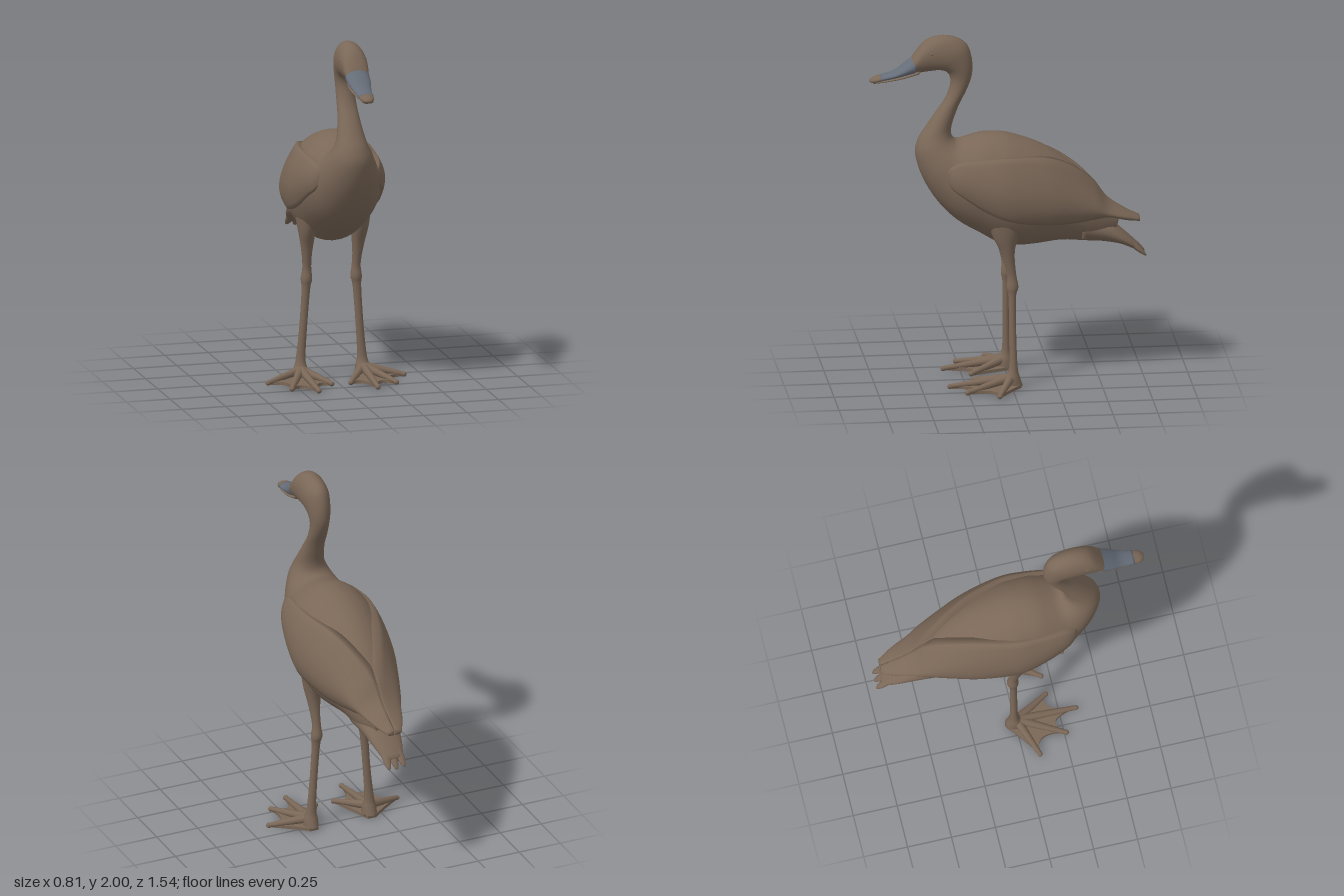
import * as THREE from 'three';

const brown = new THREE.MeshStandardMaterial({ color: 0x7a6757 });
brown.name = 'brown plumage';
const grey = new THREE.MeshStandardMaterial({ color: 0x656d78 });
grey.name = 'grey bill';

// Smoothly resample a table of cross-sections (Catmull-Rom on every column)
function resample(rows, steps) {
  const out = [], at = (i) => rows[Math.min(rows.length - 1, Math.max(0, i))];
  for (let k = 0; k <= (rows.length - 1) * steps; k++) {
    const i = Math.floor(k / steps), t = (k % steps) / steps;
    const [a, b, c, d] = [at(i - 1), at(i), at(i + 1), at(i + 2)];
    out.push(b.map((v, j) => v + 0.5 * t * (c[j] - a[j]
      + t * (2 * a[j] - 5 * v + 4 * c[j] - d[j] + t * (3 * (v - c[j]) + d[j] - a[j])))));
  }
  return out;
}

// Closed skin over rings of [x, y, z] points, with capped ends
function skin(rings) {
  const n = rings[0].length, m = rings.length, pos = rings.flat(2), index = [];
  for (let i = 0; i < m - 1; i++) for (let j = 0; j < n; j++) {
    const a = i * n + j, b = i * n + (j + 1) % n;
    index.push(a, a + n, b, b, a + n, b + n);
  }
  [rings[0], rings[m - 1]].forEach((ring, end) => {
    const c = m * n + end, o = end * (m - 1) * n;
    for (let k = 0; k < 3; k++) pos.push(ring.reduce((s, p) => s + p[k], 0) / n);
    for (let j = 0; j < n; j++) {
      const p = o + j, q = o + (j + 1) % n;
      if (end) index.push(c, q, p); else index.push(c, p, q);
    }
  });
  const g = new THREE.BufferGeometry();
  g.setAttribute('position', new THREE.Float32BufferAttribute(pos, 3));
  g.setIndex(index);
  g.computeVertexNormals();
  return g;
}

// Loft of ellipses, each row: [zTop, yTop, zBottom, yBottom, half width, x centre]
function loft(rows, steps = 4, sides = 32) {
  return skin(resample(rows, steps).map(([zt, yt, zb, yb, w, x = 0]) =>
    Array.from({ length: sides }, (_, j) => {
      const t = j / sides * Math.PI * 2, c = Math.cos(t) / 2;
      return [x + w * Math.sin(t), (yt + yb) / 2 + (yt - yb) * c, (zt + zb) / 2 + (zt - zb) * c];
    })));
}

// Tapered rod between two points
function rod(a, b, r0, r1) {
  const A = new THREE.Vector3(...a), B = new THREE.Vector3(...b), d = B.clone().sub(A);
  const g = new THREE.CylinderGeometry(r1, r0, d.length(), 12);
  g.applyQuaternion(new THREE.Quaternion().setFromUnitVectors(new THREE.Vector3(0, 1, 0), d.normalize()));
  return g.translate(...A.add(B).multiplyScalar(0.5).toArray());
}

function mirrored(geo) {
  const g = geo.index ? geo.toNonIndexed() : geo.clone();
  for (const attr of Object.values(g.attributes)) {
    const s = attr.itemSize, arr = attr.array;
    for (let i = 0; i < attr.count; i += 3) for (let k = 0; k < s; k++) {
      const p = (i + 1) * s + k, q = (i + 2) * s + k;
      [arr[p], arr[q]] = [arr[q], arr[p]];
    }
    if (s === 3) for (let i = 0; i < arr.length; i += 3) arr[i] *= -1;
  }
  return g;
}

export function createModel() {
  const model = new THREE.Group();
  model.name = 'waterfowl';
  const add = (name, geo, mat = brown) => {
    const mesh = new THREE.Mesh(geo, mat);
    mesh.name = name;
    model.add(mesh);
  };
  const pair = (name, geo, mat) => {
    add('left' + name, geo, mat);
    add('right' + name, mirrored(geo), mat);
  };

  // Body, neck and head in one flowing skin
  const body = [
    [-0.62, 0.95, -0.58, 0.80, 0.05], [-0.55, 1.01, -0.5, 0.785, 0.1],
    [-0.47, 1.12, -0.42, 0.79, 0.14], [-0.34, 1.25, -0.29, 0.8, 0.18],
    [-0.18, 1.355, -0.15, 0.785, 0.225], [-0.02, 1.415, -0.05, 0.78, 0.25],
    [0.07, 1.43, 0.05, 0.795, 0.25], [0.15, 1.428, 0.16, 0.857, 0.24],
    [0.22, 1.41, 0.29, 0.937, 0.215], [0.265, 1.398, 0.4, 1.05, 0.18],
    [0.295, 1.4, 0.48, 1.185, 0.15], [0.315, 1.42, 0.52, 1.32, 0.115],
  ];
  const neckAndHead = [
    [0.32, 1.455, 0.505, 1.4, 0.09], [0.31, 1.505, 0.47, 1.46, 0.075],
    [0.275, 1.6, 0.41, 1.55, 0.06], [0.235, 1.68, 0.35, 1.64, 0.054],
    [0.208, 1.75, 0.323, 1.73, 0.053], [0.2, 1.81, 0.34, 1.785, 0.06],
    [0.207, 1.88, 0.385, 1.803, 0.068], [0.235, 1.95, 0.43, 1.8, 0.075],
    [0.3, 1.99, 0.47, 1.795, 0.077], [0.38, 2.0, 0.5, 1.79, 0.076],
    [0.46, 1.975, 0.52, 1.785, 0.072], [0.52, 1.905, 0.535, 1.785, 0.066],
    [0.545, 1.865, 0.545, 1.79, 0.06],
  ];
  add('bodyNeckAndHead', loft([...body, ...neckAndHead], 4, 40));

  // Bill: grey upper half, brown nail and lower half
  add('upperBill', loft([
    [0.515, 1.895, 0.525, 1.785, 0.069], [0.58, 1.845, 0.58, 1.775, 0.064],
    [0.64, 1.803, 0.64, 1.762, 0.05], [0.715, 1.782, 0.715, 1.748, 0.042]]), grey);
  add('billNail', loft([
    [0.71, 1.783, 0.71, 1.747, 0.042], [0.75, 1.774, 0.75, 1.737, 0.034], [0.772, 1.758, 0.772, 1.745, 0.014]]));
  add('lowerBill', loft([
    [0.5, 1.815, 0.5, 1.785, 0.055], [0.58, 1.79, 0.58, 1.765, 0.057],
    [0.65, 1.77, 0.65, 1.75, 0.046], [0.75, 1.75, 0.75, 1.735, 0.03]]));

  // Eyes with a raised lid
  pair('Eye', new THREE.SphereGeometry(0.014, 16, 12).translate(0.064, 1.912, 0.435));
  pair('Eyelid', new THREE.TorusGeometry(0.017, 0.005, 8, 20)
    .rotateY(Math.PI / 2).scale(1, 0.75, 1.3).translate(0.068, 1.912, 0.435));

  // Folded wings, rows: [z, then y and x of the lower edge, middle and upper edge]
  const wing = resample([
    [0.355, 1.21, 0.165, 1.235, 0.17, 1.26, 0.165], [0.33, 1.16, 0.19, 1.22, 0.2, 1.285, 0.18],
    [0.27, 1.115, 0.215, 1.21, 0.23, 1.31, 0.19], [0.14, 1.03, 0.235, 1.17, 0.262, 1.325, 0.2],
    [0, 0.975, 0.245, 1.14, 0.273, 1.33, 0.198], [-0.2, 0.94, 0.205, 1.1, 0.242, 1.31, 0.145],
    [-0.35, 0.935, 0.165, 1.07, 0.193, 1.24, 0.085], [-0.47, 0.942, 0.13, 1.03, 0.147, 1.14, 0.03],
    [-0.55, 0.945, 0.105, 0.98, 0.112, 1.035, 0.014], [-0.65, 0.915, 0.07, 0.94, 0.08, 0.965, 0.014],
    [-0.73, 0.895, 0.03, 0.908, 0.043, 0.922, 0.02],
  ], 5);
  pair('Wing', skin(wing.map(([z, yb, xb, ym, xm, yt, xt]) => {
    const outer = Array.from({ length: 13 }, (_, k) => {
      const t = k / 12, a = (1 - t) * (1 - 2 * t), b = 4 * t * (1 - t), c = t * (2 * t - 1);
      return [a * xb + b * xm + c * xt, a * yb + b * ym + c * yt, z];
    });
    const inner = outer.map(([x, y]) => [Math.max(0.003, x - 0.045), y, z]).reverse();
    return [...outer, ...inner];
  })));

  // Tail with feather tips
  add('tail', loft([
    [-0.73, 0.755, -0.72, 0.72, 0.055], [-0.65, 0.83, -0.63, 0.763, 0.085],
    [-0.55, 0.91, -0.52, 0.785, 0.105], [-0.4, 0.96, -0.4, 0.8, 0.125]]));
  for (const k of [-1, 0, 1]) {
    add('tailFeather', new THREE.SphereGeometry(1, 16, 10).scale(0.026, 0.017, 0.12)
      .rotateX(-0.72).rotateY(-k * 0.1).translate(k * 0.038, 0.772 + Math.abs(k) * 0.006, -0.675));
  }

  // Legs: [zFront, y, zBack, y, half width, x], thigh to ankle
  pair('Leg', loft([
    [0.14, 0.96, -0.1, 0.96, 0.075, 0.14], [0.1, 0.86, -0.04, 0.86, 0.05, 0.15],
    [0.06, 0.78, -0.02, 0.78, 0.037, 0.148], [0.036, 0.7, -0.022, 0.7, 0.027, 0.145],
    [0.022, 0.63, -0.03, 0.63, 0.025, 0.142], [0.026, 0.57, -0.04, 0.57, 0.032, 0.143],
    [0.016, 0.51, -0.026, 0.51, 0.024, 0.147], [0.014, 0.3, -0.026, 0.3, 0.022, 0.162],
    [0.016, 0.12, -0.032, 0.12, 0.027, 0.176], [0.04, 0.06, -0.045, 0.06, 0.04, 0.178],
    [0.05, 0.012, -0.06, 0.012, 0.042, 0.178]], 4, 20));

  // Webbed feet: scalloped web and four toes
  const tips = [[0.055, 0.2], [0.17, 0.345], [0.3, 0.26], [0.39, 0.09]];
  const web = new THREE.Shape();
  web.moveTo(0.15, -0.05);
  web.lineTo(...tips[0]);
  for (let i = 1; i < 4; i++) {
    const [p, q] = [tips[i - 1], tips[i]];
    const mx = (p[0] + q[0]) / 2, mz = (p[1] + q[1]) / 2;
    web.quadraticCurveTo(mx + (0.18 - mx) * 0.55, mz * 0.45, q[0], q[1]);
  }
  web.quadraticCurveTo(0.28, 0.02, 0.2, -0.05);
  pair('Web', new THREE.ExtrudeGeometry(web, { depth: 0.018, bevelEnabled: false, curveSegments: 10 })
    .rotateX(Math.PI / 2).translate(0, 0.02, 0));
  for (const [x, z] of tips) {
    pair('Toe', rod([0.178, 0.058, 0.005], [x, 0.016, z], 0.026, 0.013));
    pair('ToeTip', new THREE.SphereGeometry(0.015, 12, 8).translate(x, 0.015, z));
  }
  return model;
}
